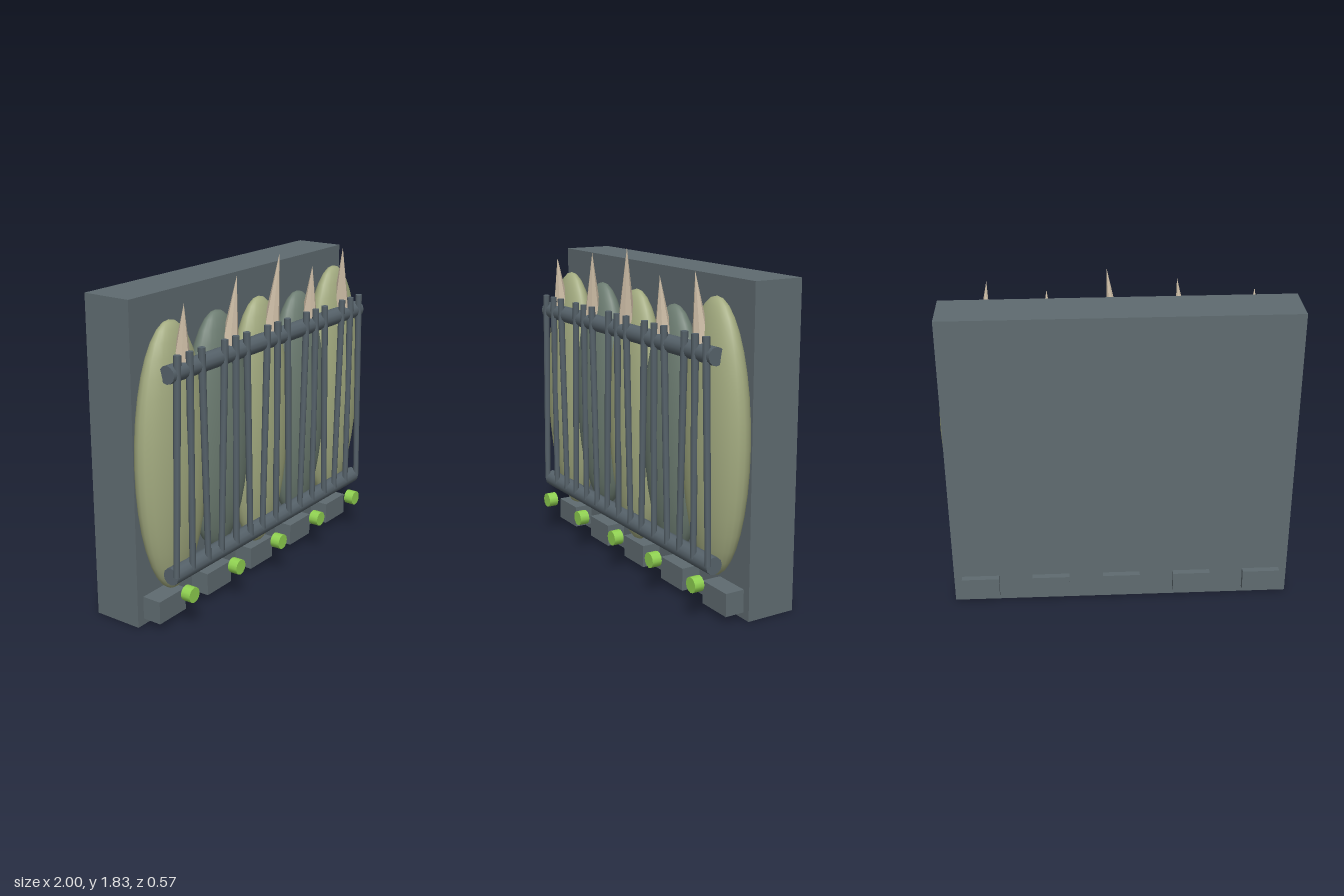
import * as THREE from 'three';

const mat = (name, color, extra = {}) => {
  const m = new THREE.MeshStandardMaterial({ color, ...extra });
  m.name = name;
  return m;
};

export function createModel() {
  const group = new THREE.Group();
  const slate = mat('slate', 0x5f6b70);
  const iron = mat('iron', 0x56626a);
  const paleSkin = mat('paleSkin', 0xa3ab80);
  const darkSkin = mat('darkSkin', 0x6d7d72);
  const bone = mat('bone', 0xcbbba4, { flatShading: true });
  const glow = mat('glow', 0x8fd050);

  const add = (name, geometry, material, x, y, z) => {
    const mesh = new THREE.Mesh(geometry, material);
    mesh.name = name;
    mesh.position.set(x, y, z);
    group.add(mesh);
    return mesh;
  };

  // Backing slab
  add('backSlab', new THREE.BoxGeometry(1.9, 1.73, 0.28), slate, 0, 0.865, -0.11);

  // Horizontal rails
  for (const [name, y] of [['upperRail', 1.375], ['lowerRail', 0.315]]) {
    const rail = add(name, new THREE.CylinderGeometry(0.047, 0.047, 1.77, 12), iron, 0, y, 0.202);
    rail.rotation.z = Math.PI / 2;
  }

  // Per bay: pod bottom, pod top, pod half width, spike base x, spike tip x, spike tip y
  const bays = [
    [0.18, 1.61, 0.25, -0.75, -0.75, 1.70],
    [0.27, 1.59, 0.24, -0.365, -0.325, 1.765],
    [0.17, 1.595, 0.24, 0.005, 0.055, 1.825],
    [0.21, 1.56, 0.24, 0.385, 0.38, 1.71],
    [0.21, 1.645, 0.25, 0.73, 0.70, 1.765],
  ];
  const up = new THREE.Vector3(0, 1, 0);

  bays.forEach(([bottom, top, halfWidth, baseX, tipX, tipY], i) => {
    const x = (i - 2) * 0.375;
    const footX = (i - 2) * 0.4;

    // Swollen pod
    const pod = add('pod', new THREE.SphereGeometry(1, 24, 18), i % 2 ? darkSkin : paleSkin,
      x, (bottom + top) / 2, 0.11);
    pod.scale.set(halfWidth, (top - bottom) / 2, 0.12);

    // Leaning bone spike
    const base = new THREE.Vector3(baseX, 1.36, 0.182);
    const axis = new THREE.Vector3(tipX, tipY, 0.205).sub(base);
    const cone = new THREE.ConeGeometry(0.055, axis.length(), 7);
    cone.translate(0, axis.length() / 2, 0);
    add('spike', cone, bone, base.x, base.y, base.z)
      .quaternion.setFromUnitVectors(up, axis.normalize());

    // Three cage bars, the outer two splaying towards the bottom
    for (const side of [-1, 0, 1]) {
      const dx = side * 0.037;
      const bar = new THREE.CylinderGeometry(0.0195, 0.0165, Math.hypot(1.15, dx), 8);
      add('cageBar', bar, iron, x + side * 0.112, 0.895, 0.236).rotation.z = Math.atan2(dx, 1.15);
    }

    // Foot block passing through the slab
    add('footBlock', new THREE.BoxGeometry(0.21, 0.125, 0.425), slate, footX, 0.0975, -0.0725);

    // Round lamp
    const lamp = add('lamp', new THREE.CylinderGeometry(0.042, 0.042, 0.056, 12), glow,
      footX, 0.203, 0.257);
    lamp.rotation.x = Math.PI / 2;
  });

  return group;
}
